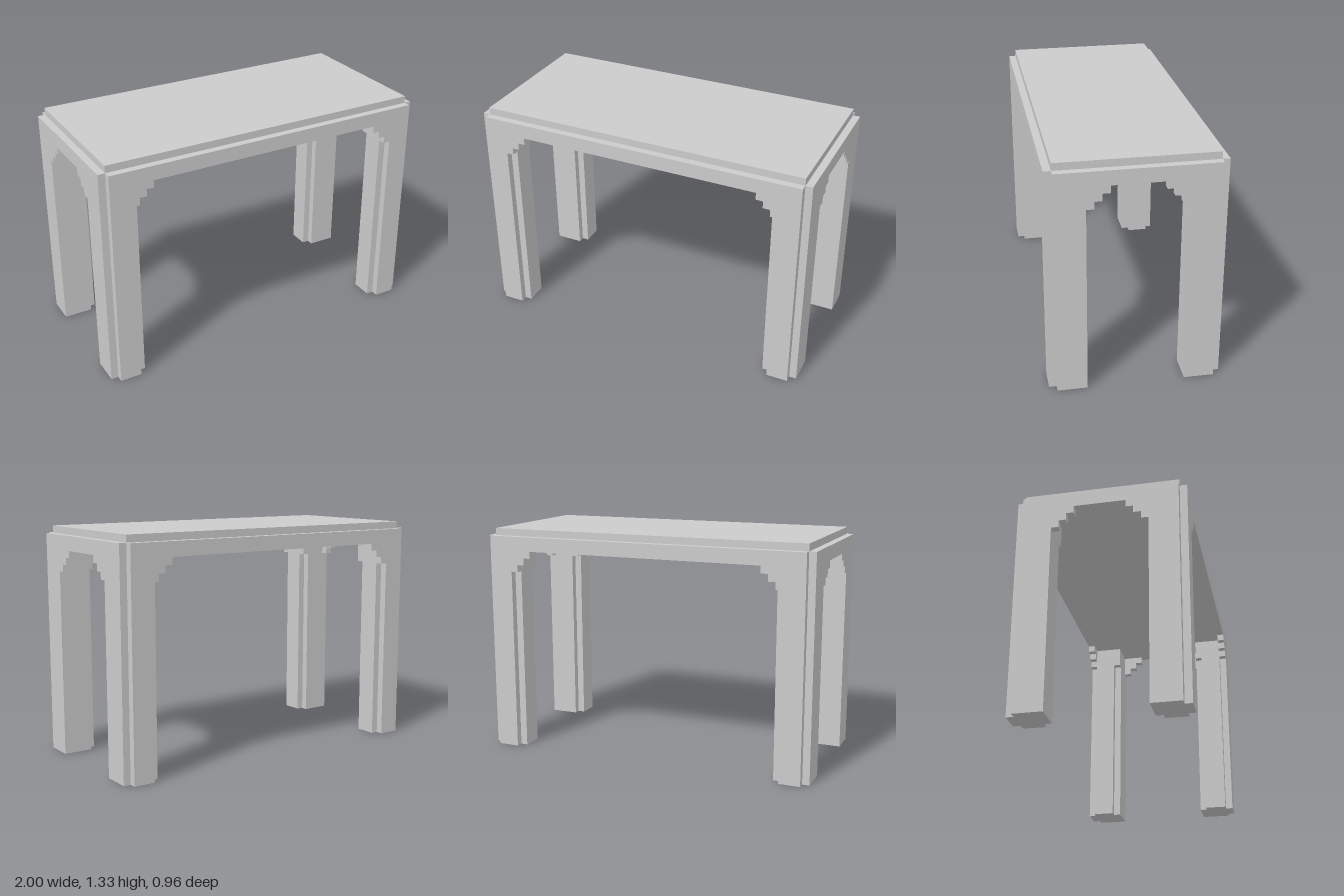
import * as THREE from 'three';

const U = 1 / 24; // one step of the stepped design

export function createModel() {
  const group = new THREE.Group();
  const material = new THREE.MeshStandardMaterial({ color: 0xcccccc, flatShading: true });

  const add = (name, geometry) => {
    const mesh = new THREE.Mesh(geometry, material);
    mesh.name = name;
    group.add(mesh);
    return mesh;
  };

  // Extrude a floor plan of [x, z] points (in steps) from height y0 to y1
  const prism = (name, plan, y0, y1) => {
    const shape = new THREE.Shape(plan.map(([x, z]) => new THREE.Vector2(x * U, -z * U)));
    const geometry = new THREE.ExtrudeGeometry(shape, { depth: (y1 - y0) * U, bevelEnabled: false });
    geometry.rotateX(-Math.PI / 2).translate(0, y0 * U, 0);
    return add(name, geometry);
  };

  // Box between two corners given in steps
  const block = (name, x0, x1, y0, y1, z0, z1) => {
    const geometry = new THREE.BoxGeometry(Math.abs(x1 - x0) * U, (y1 - y0) * U, Math.abs(z1 - z0) * U);
    geometry.translate((x0 + x1) / 2 * U, (y0 + y1) / 2 * U, (z0 + z1) / 2 * U);
    return add(name, geometry);
  };

  // Apron slab with notched corners, and the raised top panel
  const X = 24, Z = 11.5;
  prism('apronSlab', [
    [X, Z - 1], [X - 1, Z - 1], [X - 1, Z], [1 - X, Z], [1 - X, Z - 1], [-X, Z - 1],
    [-X, 1 - Z], [1 - X, 1 - Z], [1 - X, -Z], [X - 1, -Z], [X - 1, 1 - Z], [X, 1 - Z],
  ], 29, 31);
  block('tableTop', 1 - X, X - 1, 31, 32, 1 - Z, Z - 1);

  // Leg plan notched at three corners; the block above it only at the outer one
  const outer = [[24, 10.5], [23, 10.5], [23, 11.5]];
  const legPlan = [...outer, [20, 11.5], [20, 10.5], [19, 10.5], [19, 7.5], [20, 7.5], [20, 6.5], [24, 6.5]];
  const blockPlan = [...outer, [19, 11.5], [19, 6.5], [24, 6.5]];

  for (const sx of [1, -1]) {
    for (const sz of [1, -1]) {
      const place = (plan) => plan.map(([x, z]) => [x * sx, z * sz]);
      const tag = (sz > 0 ? 'front' : 'back') + (sx > 0 ? 'Left' : 'Right');
      prism(tag + 'Leg', place(legPlan), 0, 26);
      prism(tag + 'LegBlock', place(blockPlan), 26, 29);

      // Stepped brackets along the long side and along the end
      for (let i = 0; i < 2; i++) {
        block(tag + 'SideBracketStep', sx * (19 - i), sx * (18 - i), 27 + i, 29, sz * 10.5, sz * 11.5);
      }
      for (let i = 0; i < 3; i++) {
        block(tag + 'EndBracketStep', sx * 23, sx * 24, 26 + i, 29, sz * (6.5 - i), sz * (5.5 - i));
      }
    }
  }
  return group;
}
